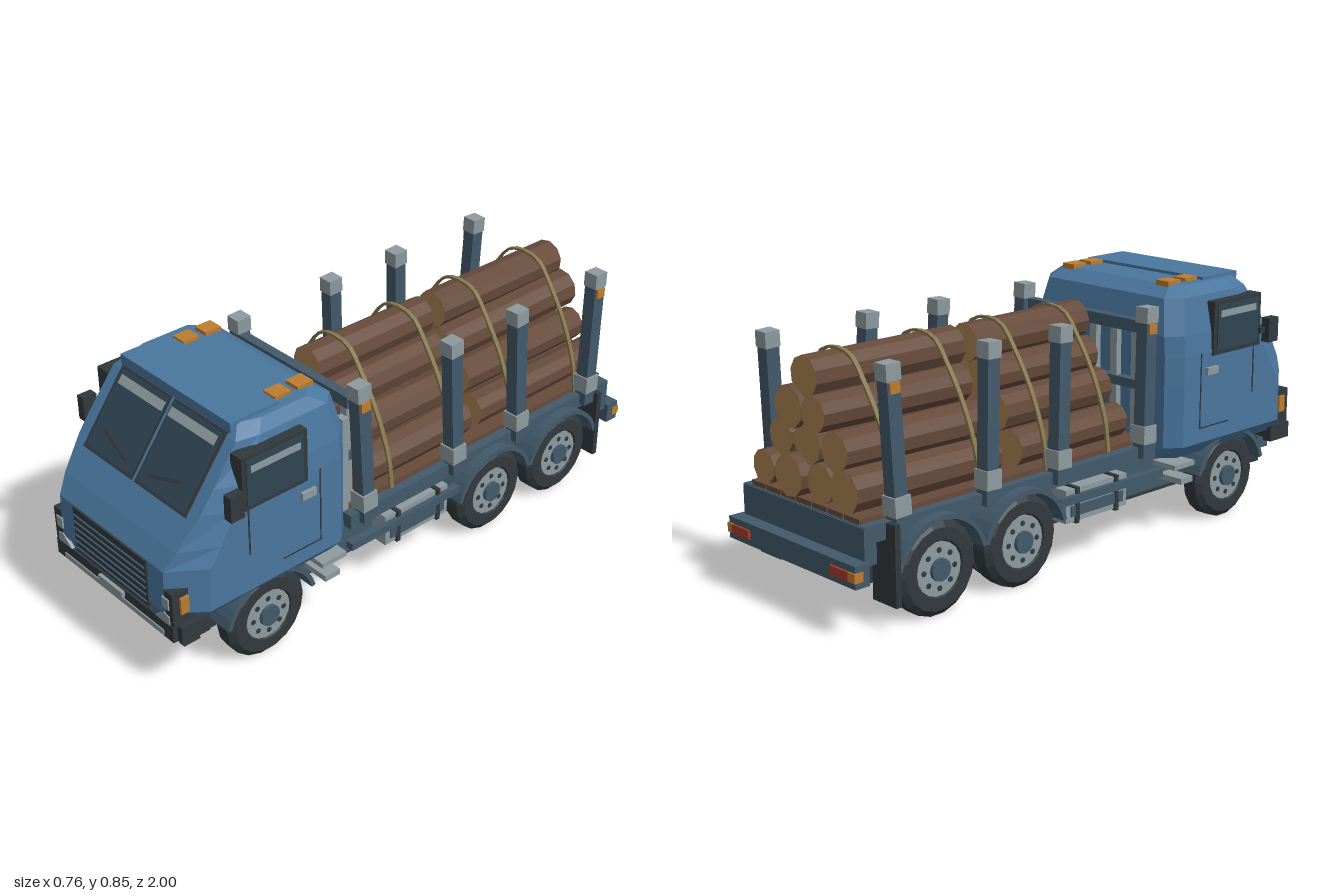
import * as THREE from 'three';

const mat = (name, hex) => Object.assign(new THREE.MeshStandardMaterial({ color: hex }), { name });
const M = {
  blue: mat('cab blue', 0x4a769e), steel: mat('frame steel', 0x42596a), dark: mat('dark rubber', 0x31393d),
  glass: mat('glass', 0x2e4452), grey: mat('light grey', 0x8d9a9f), bark: mat('bark', 0x664b3b),
  wood: mat('cut wood', 0xaa8150), amber: mat('amber', 0xbd7c30), red: mat('red lamp', 0xa83a2c),
  strap: mat('strap', 0x85764c),
};

export function createModel() {
  const root = new THREE.Group();
  root.name = 'logTruck';
  let seed = 7;
  const rnd = (a) => { seed = (seed * 16807) % 2147483647; return (seed / 2147483647 * 2 - 1) * a; };
  const flat = (g) => { const f = g.index ? g.toNonIndexed() : g; f.computeVertexNormals(); return f; };
  const add = (name, geo, m, parent = root) => {
    const mesh = new THREE.Mesh(geo, m);
    mesh.name = name;
    parent.add(mesh);
    return mesh;
  };
  const box = (name, m, x0, x1, y0, y1, z0, z1, parent = root) => {
    const b = add(name, new THREE.BoxGeometry(x1 - x0, y1 - y0, z1 - z0), m, parent);
    b.position.set((x0 + x1) / 2, (y0 + y1) / 2, (z0 + z1) / 2);
    return b;
  };
  // same box on both sides
  const pair = (name, m, x0, x1, ...r) => [box(name + 'Left', m, x0, x1, ...r), box(name + 'Right', m, -x1, -x0, ...r)];

  // cab shell lofted from octagonal levels: y, front z, corner z, half width, front half width, back z
  const rings = [
    [0.265, 0.96, 0.86, 0.305, 0.24, 0.33], [0.31, 0.985, 0.88, 0.343, 0.26, 0.32],
    [0.46, 0.982, 0.87, 0.343, 0.262, 0.32], [0.52, 0.944, 0.83, 0.343, 0.28, 0.32],
    [0.62, 0.868, 0.77, 0.343, 0.3, 0.32], [0.69, 0.816, 0.73, 0.338, 0.3, 0.32],
    [0.81, 0.725, 0.65, 0.312, 0.295, 0.345], [0.845, 0.69, 0.62, 0.285, 0.262, 0.4],
  ].map(([y, zf, zs, w, wf, zb]) => [[-wf, zf], [wf, zf], [w, zs], [w, zb + 0.05], [w - 0.045, zb],
    [0.045 - w, zb], [-w, zb + 0.05], [-w, zs]].map(([x, z]) => [x, y, z]));
  const pos = [];
  for (let k = 0; k + 1 < rings.length; k++) for (let i = 0; i < 8; i++) {
    const j = (i + 1) % 8, a = rings[k], b = rings[k + 1];
    pos.push(...a[i], ...a[j], ...b[j], ...a[i], ...b[j], ...b[i]);
  }
  const top = rings[rings.length - 1], bottom = rings[0];
  for (let i = 1; i < 7; i++) pos.push(...top[0], ...top[i], ...top[i + 1], ...bottom[0], ...bottom[i + 1], ...bottom[i]);
  const shell = new THREE.BufferGeometry();
  shell.setAttribute('position', new THREE.Float32BufferAttribute(pos, 3));
  shell.computeVertexNormals();
  add('cabShell', shell, M.blue);
  box('roofVisor', M.blue, -0.265, 0.265, 0.822, 0.855, 0.54, 0.718);
  for (const z of [0.39, 0.475]) pair('roofLamp', M.amber, 0.19, 0.245, 0.835, 0.857, z, z + 0.06);

  // windscreen on the sloping front
  const screen = new THREE.Group();
  screen.name = 'windscreen';
  screen.position.set(0, 0.71, 0.8005);
  screen.rotation.x = -0.647;
  root.add(screen);
  pair('screenFrame', M.dark, 0.007, 0.254, -0.138, 0.138, -0.004, 0.004, screen);
  pair('screenGlass', M.glass, 0.015, 0.242, -0.128, 0.13, 0, 0.007, screen);
  pair('screenSunStrip', M.grey, 0.015, 0.233, 0.084, 0.114, 0.002, 0.009, screen);
  for (const s of [-1, 1]) {
    const w = box('wiper', M.dark, -0.07, 0.07, -0.005, 0.005, 0.008, 0.018, screen);
    w.position.x = s * 0.123; w.position.y = -0.076; w.rotation.z = s * 0.3;
  }

  // grille, bumper and front lamps
  box('grille', M.dark, -0.185, 0.185, 0.295, 0.46, 0.965, 0.989);
  for (let i = 0; i < 6; i++) box('grilleSlat', M.steel, -0.18, 0.18, 0.309 + i * 0.0245, 0.314 + i * 0.0245, 0.98, 0.994);
  box('bumper', M.dark, -0.3, 0.3, 0.225, 0.282, 0.9, 0.988);
  pair('bumperCorner', M.dark, 0.29, 0.322, 0.225, 0.282, 0.87, 0.972);
  box('bumperStrip', M.grey, -0.255, 0.255, 0.231, 0.249, 0.985, 0.992);
  box('blankPlate', M.grey, -0.061, 0.061, 0.256, 0.278, 0.985, 1.0);
  pair('bumperBracket', M.steel, 0.205, 0.246, 0.178, 0.226, 0.89, 0.95);
  pair('towArm', M.dark, 0.215, 0.24, 0.13, 0.18, 0.85, 0.91);
  pair('lampGuard', M.dark, 0.264, 0.302, 0.28, 0.4, 0.91, 0.985);
  pair('headLamp', M.grey, 0.256, 0.286, 0.338, 0.376, 0.95, 0.99);
  pair('turnLamp', M.amber, 0.3, 0.31, 0.32, 0.378, 0.93, 0.96);
  const tri = new THREE.Shape([[0.215, 0.282], [0.285, 0.282], [0.285, 0.312], [0.26, 0.318]].map((p) => new THREE.Vector2(...p)));
  const triGeo = new THREE.ExtrudeGeometry(tri, { depth: 0.012, bevelEnabled: false });
  add('lowerLampLeft', triGeo, M.grey).position.z = 0.977;
  const triRight = add('lowerLampRight', triGeo, M.grey);
  triRight.rotation.y = Math.PI; triRight.position.z = 0.989;

  // doors
  pair('sideWindowFrame', M.dark, 0.3, 0.35, 0.605, 0.787, 0.505, 0.75);
  pair('sideWindowGlass', M.glass, 0.347, 0.354, 0.62, 0.775, 0.522, 0.735);
  pair('sideWindowStrip', M.grey, 0.349, 0.356, 0.732, 0.755, 0.535, 0.72);
  pair('doorHandle', M.grey, 0.338, 0.355, 0.543, 0.568, 0.475, 0.53);
  pair('doorSeamFront', M.dark, 0.34, 0.345, 0.44, 0.6, 0.724, 0.729);
  pair('doorSeamBack', M.dark, 0.34, 0.345, 0.36, 0.62, 0.45, 0.454);
  pair('doorSeamBottom', M.dark, 0.34, 0.345, 0.36, 0.364, 0.45, 0.6);
  pair('mirror', M.dark, 0.346, 0.378, 0.613, 0.697, 0.765, 0.815);
  pair('mirrorArm', M.dark, 0.31, 0.36, 0.645, 0.665, 0.74, 0.785);
  pair('cabStep', M.grey, 0.23, 0.335, 0.235, 0.252, 0.34, 0.44);
  pair('lowerStep', M.grey, 0.23, 0.338, 0.18, 0.2, 0.37, 0.43);

  // chassis and deck
  box('chassis', M.dark, -0.228, 0.228, 0.135, 0.26, -0.88, 0.89);
  pair('chassisRail', M.steel, 0.22, 0.236, 0.15, 0.27, -0.85, 0.5);
  box('deckFrame', M.steel, -0.295, 0.295, 0.285, 0.337, -0.94, 0.285);
  box('rearPanel', M.steel, -0.295, 0.295, 0.22, 0.335, -0.945, -0.9);
  for (let i = 0; i < 7; i++) box('deckPlank', M.bark, -0.262 + i * 0.0755, -0.192 + i * 0.0755, 0.335, 0.353, -0.935, 0.27);
  pair('sideTank', M.grey, 0.22, 0.3, 0.155, 0.265, -0.14, 0.14);
  pair('tankPanel', M.steel, 0.295, 0.306, 0.175, 0.21, -0.12, 0.12);
  pair('tankBand', M.dark, 0.22, 0.308, 0.15, 0.27, 0.08, 0.095);
  pair('tankBandRear', M.dark, 0.22, 0.308, 0.15, 0.27, -0.1, -0.085);
  pair('guardRail', M.steel, 0.29, 0.318, 0.222, 0.248, -0.18, 0.3);
  box('rearBumper', M.steel, -0.31, 0.31, 0.168, 0.238, -0.992, -0.94);
  pair('tailLamp', M.red, 0.2, 0.285, 0.188, 0.218, -1.0, -0.985);
  pair('tailMarker', M.amber, 0.285, 0.313, 0.188, 0.218, -0.997, -0.965);
  pair('mudFlap', M.dark, 0.228, 0.335, 0.083, 0.335, -0.865, -0.845);

  // wheels
  const tyre = (r, w) => flat(new THREE.LatheGeometry([[0.02, -w], [r - 0.025, -w], [r, -w * 0.6], [r, w * 0.6], [r - 0.02, w],
    [0.09, w], [0.084, w - 0.012], [0.02, w - 0.012]].map((p) => new THREE.Vector2(...p)), 18));
  const disc = (r, h, n = 18) => flat(new THREE.CylinderGeometry(r, r, h, n));
  const arch = new THREE.Shape();
  arch.absarc(0, 0, 0.178, 0.25, Math.PI - 0.25, false);
  arch.absarc(0, 0, 0.163, Math.PI - 0.25, 0.25, true);
  const archGeo = new THREE.ExtrudeGeometry(arch, { depth: 0.1, bevelEnabled: false, curveSegments: 7 });
  for (const s of [-1, 1]) for (const z of [0.64, -0.34, -0.68]) {
    const wheel = new THREE.Group();
    wheel.name = 'wheel';
    wheel.position.set(s * 0.272, 0.15, z);
    wheel.rotation.z = -s * Math.PI / 2;
    root.add(wheel);
    add('tyre', tyre(0.15, 0.042), M.dark, wheel);
    add('rim', disc(0.085, 0.02), M.grey, wheel).position.y = 0.028;
    add('hub', disc(0.036, 0.03, 12), M.steel, wheel).position.y = 0.036;
    for (let i = 0; i < 8; i++) {
      const a = i * Math.PI / 4;
      add('rimHole', disc(0.009, 0.004, 8), M.dark, wheel).position.set(Math.cos(a) * 0.06, 0.0385, Math.sin(a) * 0.06);
    }
    if (z < 0) add('innerTyre', tyre(0.137, 0.02), M.dark, wheel).position.y = -0.074;
    const fender = add('fender', archGeo, M.steel);
    fender.rotation.y = Math.PI / 2;
    fender.position.set(s > 0 ? 0.233 : -0.333, 0.145, z);
  }

  // headboard behind the cab
  box('headboardTop', M.steel, -0.26, 0.26, 0.71, 0.75, 0.235, 0.268);
  box('headboardMid', M.steel, -0.26, 0.26, 0.52, 0.55, 0.235, 0.268);
  for (let i = 0; i < 6; i++) box('headboardBar', M.grey, -0.25 + i * 0.094, -0.22 + i * 0.094, 0.34, 0.74, 0.24, 0.262);
  pair('airPipe', M.grey, 0.23, 0.262, 0.34, 0.68, 0.265, 0.29);

  // stakes with caps, brackets and markers
  [0.225, -0.17, -0.47, -0.82].forEach((z, i) => {
    for (const s of [-1, 1]) {
      const stake = new THREE.Group();
      stake.name = 'stake';
      stake.position.set(s * 0.295, 0.33, z);
      stake.rotation.set(i < 3 ? 0.04 : -0.04, 0, s * 0.02);
      root.add(stake);
      box('stakePost', M.steel, -0.023, 0.023, -0.03, 0.42, -0.024, 0.024, stake);
      box('stakeCap', M.grey, -0.026, 0.026, 0.42, 0.472, -0.027, 0.027, stake);
      box('stakeBracket', M.grey, -0.03, 0.03, 0.02, 0.08, -0.03, 0.03, stake);
      const x = s * 0.025;
      if (i === 0 || i === 3) box('stakeMarker', M.amber, x - 0.005, x + 0.005, 0.385, 0.418, -0.018, 0.018, stake);
    }
  });

  // two piles of logs
  for (const [z0, z1] of [[-0.29, 0.2], [-0.93, -0.345]]) for (let row = 0; row < 4; row++) for (let i = 0; i < 4 - row; i++) {
    const r = 0.061 + rnd(0.004);
    const geo = flat(new THREE.CylinderGeometry(r, r * (1 + rnd(0.06)), z1 - z0 + rnd(0.025), 10));
    const log = add('log', geo, [M.bark, M.wood, M.wood]);
    log.rotation.set(Math.PI / 2 + rnd(0.012), rnd(1.5), rnd(0.015));
    log.position.set((i - (3 - row) / 2) * 0.124 + rnd(0.006), 0.414 + row * 0.103, (z0 + z1) / 2 + rnd(0.014));
  }

  // tie-down straps arching over the logs
  const half = [[0.272, 0.34], [0.258, 0.44], [0.205, 0.58], [0.135, 0.695], [0.06, 0.782]];
  const arc = new THREE.CatmullRomCurve3([...half, ...half.slice().reverse().map(([x, y]) => [-x, y])]
    .map(([x, y]) => new THREE.Vector3(x, y, 0))).getPoints(28);
  const band = new THREE.Shape([...arc.map((p) => new THREE.Vector2(p.x, p.y)),
    ...arc.slice().reverse().map((p) => new THREE.Vector2(p.x * 0.975, p.y - 0.008))]);
  const bandGeo = new THREE.ExtrudeGeometry(band, { depth: 0.015, bevelEnabled: false });
  for (const z of [0.085, -0.195, -0.475, -0.795]) add('strap', bandGeo, M.strap).position.z = z - 0.0075;

  return root;
}
